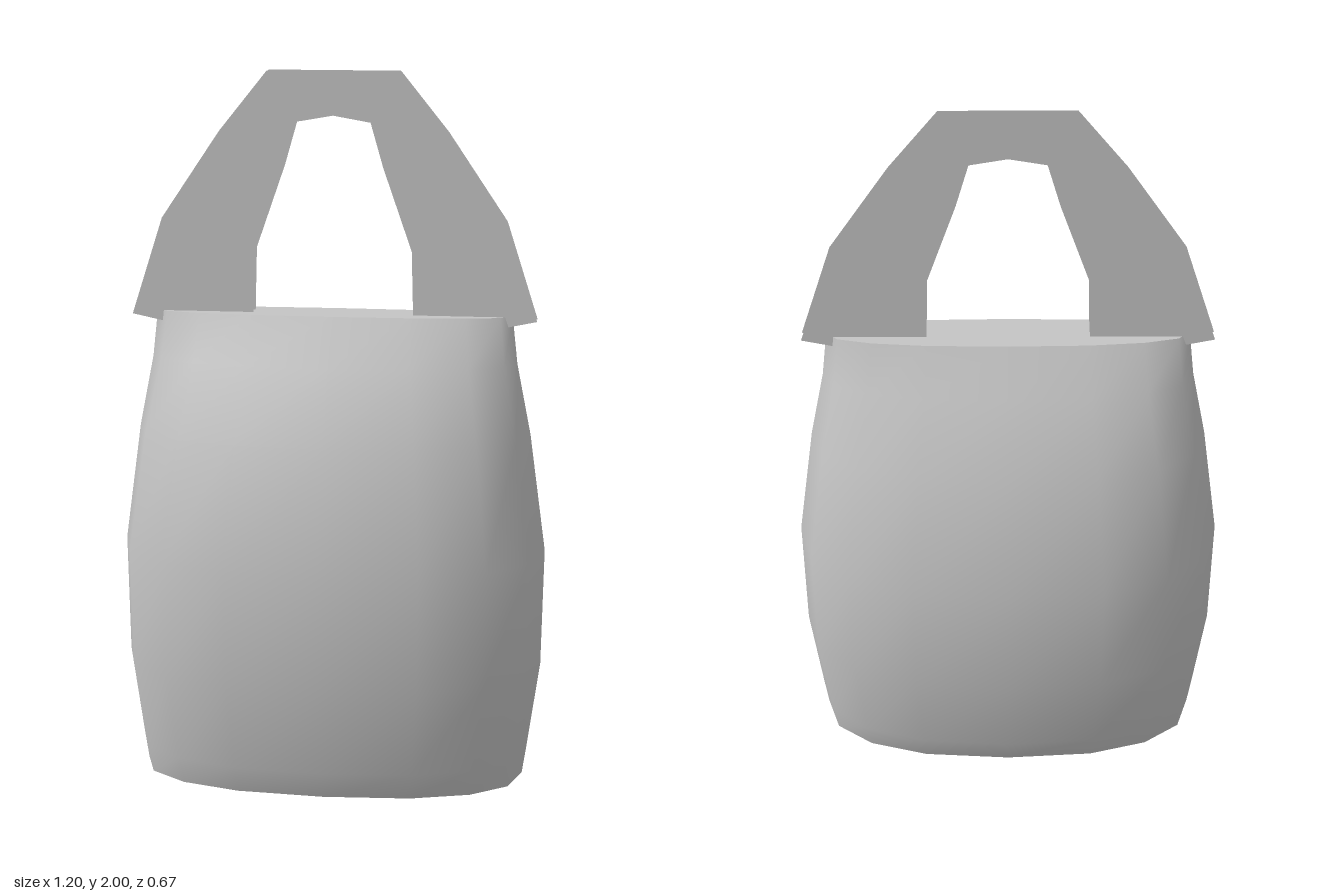
import * as THREE from 'three';

const SIDES = 16;

// Slightly squared oval with half-widths rx and rz
function oval(rx, rz) {
  const soften = (v) => (Math.abs(v) < 1e-6 ? 0 : Math.sign(v) * Math.abs(v) ** 0.84);
  return Array.from({ length: SIDES }, (_, i) => {
    const a = (i / SIDES) * Math.PI * 2;
    return new THREE.Vector2(rx * soften(Math.cos(a)), rz * soften(Math.sin(a)));
  });
}

// Smooth wall lofted through oval rings given as [y, rx, rz]
function loft(rings) {
  const positions = [];
  const index = [];
  rings.forEach(([y, rx, rz], j) => {
    oval(rx, rz).forEach((p, i) => {
      positions.push(p.x, y, p.y);
      if (j === rings.length - 1) return;
      const a = j * SIDES + i;
      const b = j * SIDES + ((i + 1) % SIDES);
      index.push(a, a + SIDES, b, b, a + SIDES, b + SIDES);
    });
  });
  const geometry = new THREE.BufferGeometry();
  geometry.setAttribute('position', new THREE.Float32BufferAttribute(positions, 3));
  geometry.setIndex(index);
  geometry.computeVertexNormals();
  return geometry;
}

export function createModel() {
  const model = new THREE.Group();
  const grey = new THREE.MeshStandardMaterial({ color: 0xc4c4c4, side: THREE.DoubleSide });
  grey.name = 'light grey';

  const add = (name, geometry) => {
    const mesh = new THREE.Mesh(geometry, grey);
    mesh.name = name;
    model.add(mesh);
    return mesh;
  };

  // Bag body, swelling low down and pinched to a narrow top
  const rings = [
    [0, 0.545, 0.255],
    [0.08, 0.557, 0.285],
    [0.333, 0.592, 0.33],
    [0.667, 0.598, 0.335],
    [1.0, 0.552, 0.25],
    [1.2, 0.512, 0.142],
    [1.333, 0.497, 0.07],
  ];
  add('bagBody', loft(rings));

  // Flat base and flat top closing the body
  const cap = ([y, rx, rz], turn) =>
    new THREE.ShapeGeometry(new THREE.Shape(oval(rx, rz))).rotateX(turn).translate(0, y, 0);
  add('base', cap(rings[0], Math.PI / 2));
  add('top', cap(rings[rings.length - 1], -Math.PI / 2));

  // Carrying handle: a pair of thin arched sheets
  const outer = [[0.565, 1.322], [0.478, 1.593], [0.315, 1.835], [0.182, 2]];
  const inner = [[0, 1.88], [0.103, 1.862], [0.138, 1.74], [0.218, 1.51], [0.225, 1.25]];
  const mirror = (points) => points.map(([x, y]) => [-x, y]).reverse();
  const outline = [
    ...outer,
    ...mirror(outer),
    ...mirror(inner),
    ...inner.slice(1),
  ].map(([x, y]) => new THREE.Vector2(x, y));
  for (const side of [1, -1]) {
    const sheet = add(
      side > 0 ? 'handleFront' : 'handleBack',
      new THREE.ShapeGeometry(new THREE.Shape(outline)),
    );
    sheet.position.z = 0.02 * side;
    if (side < 0) sheet.rotation.y = Math.PI;
  }

  return model;
}
